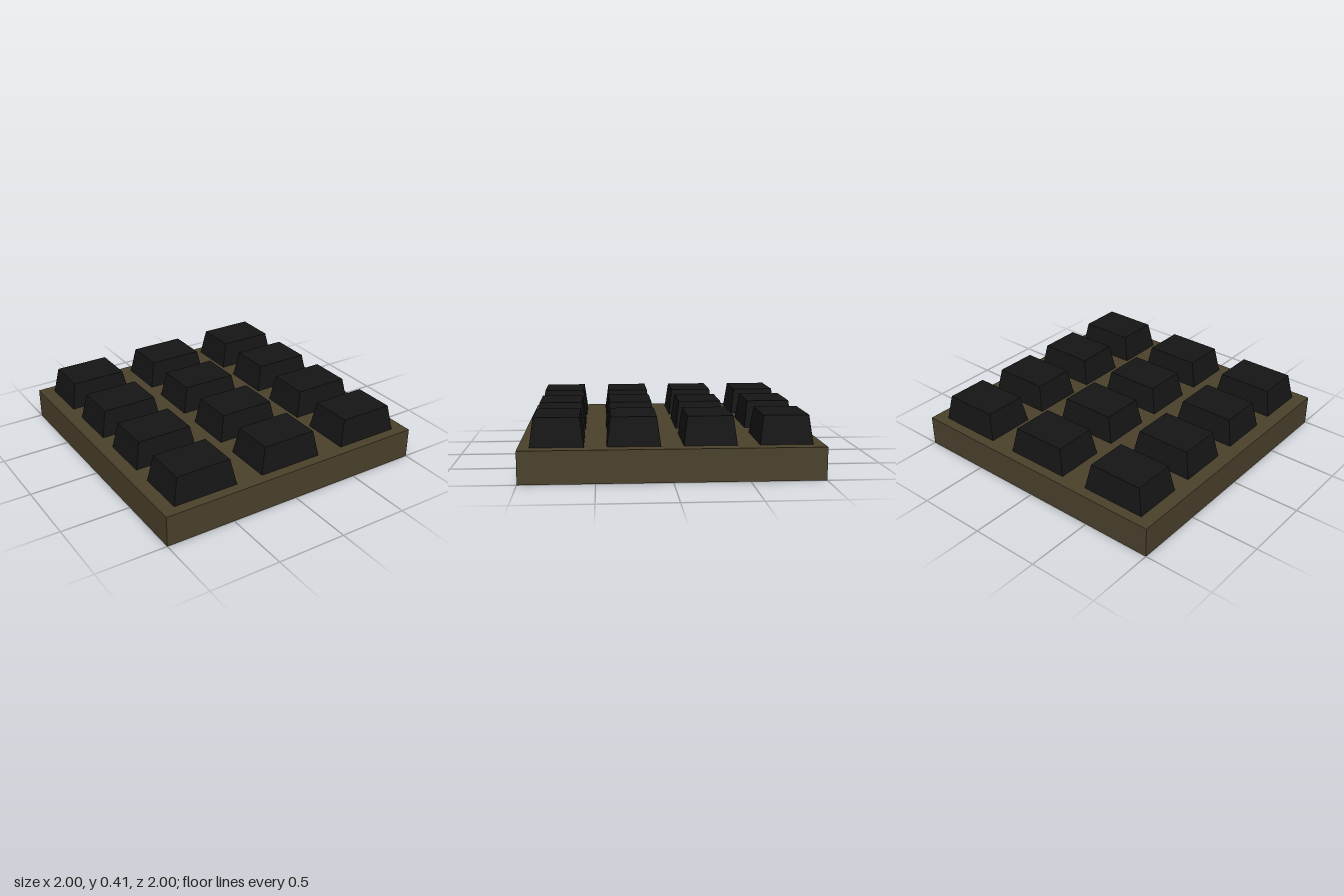
import * as THREE from 'three';

const BASE_HEIGHT = 0.22;
const KEY_HEIGHT = 0.19;

// Box whose top face is narrowed to form a keycap, standing on y = 0
function keycapGeometry(width, depth, topWidth, topDepth) {
  const geometry = new THREE.BoxGeometry(width, KEY_HEIGHT, depth);
  geometry.translate(0, KEY_HEIGHT / 2, 0);
  const p = geometry.attributes.position;
  for (let i = 0; i < p.count; i++) {
    if (p.getY(i) > KEY_HEIGHT / 2) {
      p.setX(i, p.getX(i) * topWidth / width);
      p.setZ(i, p.getZ(i) * topDepth / depth);
    }
  }
  geometry.computeVertexNormals();
  return geometry;
}

export function createModel() {
  const model = new THREE.Group();
  model.name = 'keypad';

  const baseMaterial = new THREE.MeshStandardMaterial({ color: 0x4c422d });
  const keyMaterial = new THREE.MeshStandardMaterial({ color: 0x161617 });

  // Square base slab
  const base = new THREE.Mesh(new THREE.BoxGeometry(2, BASE_HEIGHT, 2), baseMaterial);
  base.name = 'base';
  base.position.y = BASE_HEIGHT / 2;
  model.add(base);

  // Four rows of three tapered keys
  const keys = new THREE.Group();
  keys.name = 'keys';
  const keyGeometry = keycapGeometry(0.47, 0.352, 0.394, 0.302);
  for (let row = 0; row < 4; row++) {
    for (let column = 0; column < 3; column++) {
      const key = new THREE.Mesh(keyGeometry, keyMaterial);
      key.name = `keyRow${row + 1}Column${column + 1}`;
      key.position.set((column - 1) * 2 / 3, BASE_HEIGHT, (row - 1.5) * 0.5);
      keys.add(key);
    }
  }
  model.add(keys);

  return model;
}
